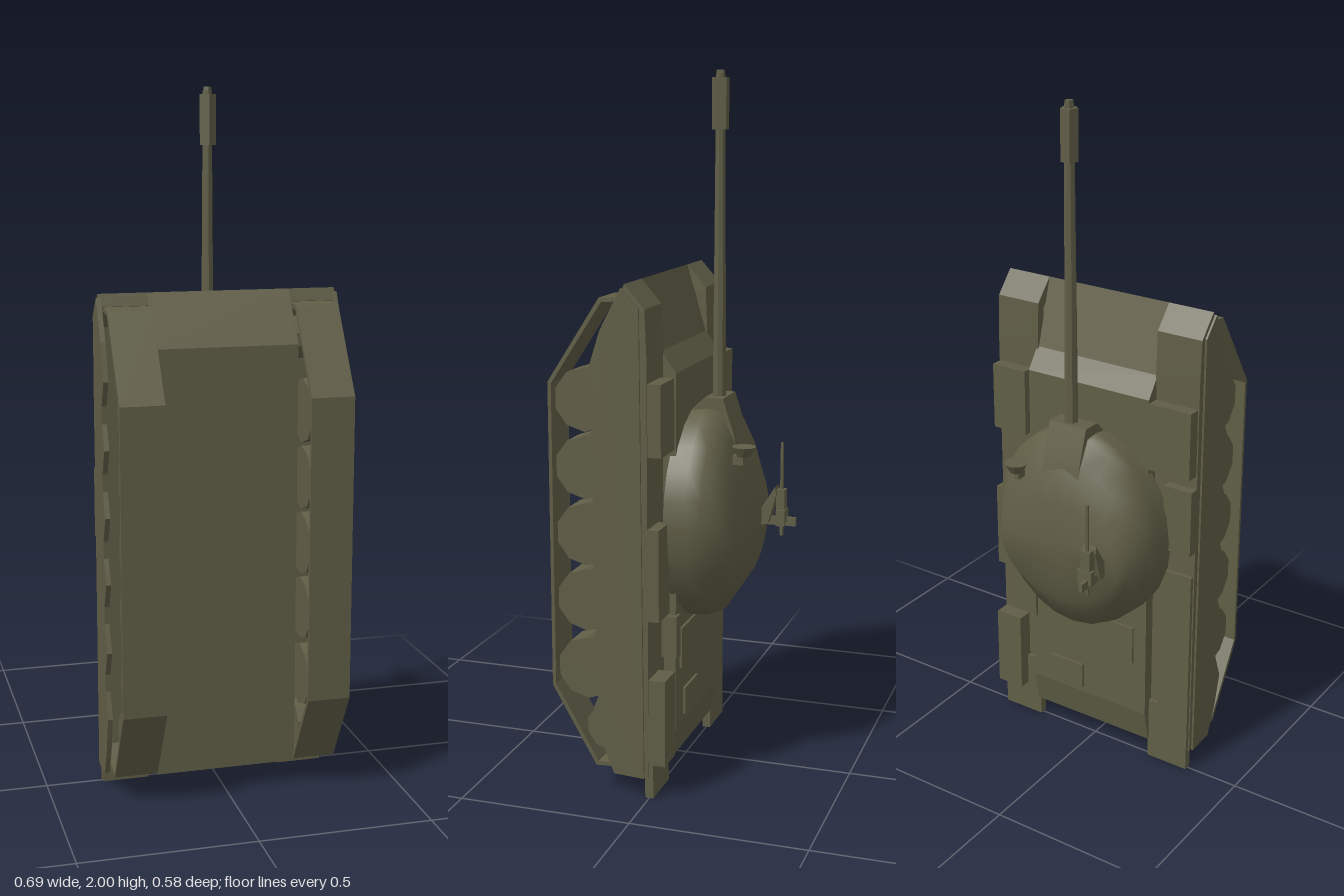
import * as THREE from 'three';
import { toCreasedNormals } from 'three/addons/utils/BufferGeometryUtils.js';

const olive = new THREE.MeshStandardMaterial({ color: 0x605e46 });
olive.name = 'olive';

export function createModel() {
  const model = new THREE.Group();
  model.name = 'tank';

  const add = (name, geo, crease = 0.15) => {
    const mesh = new THREE.Mesh(toCreasedNormals(geo, crease), olive);
    mesh.name = name;
    model.add(mesh);
  };
  // box from its limits
  const box = (name, x0, x1, y0, y1, z0, z1) =>
    add(name, new THREE.BoxGeometry(x1 - x0, y1 - y0, z1 - z0)
      .translate((x0 + x1) / 2, (y0 + y1) / 2, (z0 + z1) / 2));
  // side profile of [z, y] points, extruded from x0 to x1
  const vectors = (pts) => pts.map(([z, y]) => new THREE.Vector2(z, y));
  const profile = (name, pts, x0, x1, hole) => {
    const shape = new THREE.Shape(vectors(pts));
    if (hole) shape.holes.push(new THREE.Path(vectors(hole)));
    const geo = new THREE.ExtrudeGeometry(shape, { depth: x1 - x0, bevelEnabled: false });
    add(name, geo.rotateY(-Math.PI / 2).translate(x1, 0, 0));
  };
  // cylinder along y
  const rod = (name, r0, r1, y0, y1, x, z, sides = 8) =>
    add(name, new THREE.CylinderGeometry(r1, r0, y1 - y0, sides).translate(x, (y0 + y1) / 2, z));

  // hull: belly towards +z, nose towards +y
  profile('hull', [[0.16, 0.07], [0.16, 1.3], [0.062, 1.445], [0.005, 1.25], [-0.038, 1.19],
    [-0.035, 0.16], [-0.015, 0.06], [0.06, 0.055]], -0.202, 0.206);
  box('engineDeckPanel', -0.16, 0.17, 0.33, 0.45, -0.043, -0.03);
  box('rearHatch', 0.02, 0.14, 0.18, 0.26, -0.043, -0.03);

  // track belt outlines
  const belt = [[0.29, 0.3], [0.29, 1.17], [0.138, 1.405], [0.06, 1.41], [0.03, 1.36],
    [0.03, 0.12], [0.06, 0.08], [0.16, 0.075]];
  const beltInner = [[0.28, 0.305], [0.28, 1.165], [0.132, 1.393], [0.07, 1.398], [0.042, 1.35],
    [0.042, 0.13], [0.066, 0.092], [0.154, 0.087]];
  const wheelY = [0.35, 0.55, 0.74, 0.93, 1.12];
  // skirt with a scalloped lower edge over the wheels
  const skirt = [[0.012, 0.06], [0.1, 0.065], [0.135, 0.15], [0.16, 0.25]];
  wheelY.forEach((y) => skirt.push([0.132, y - 0.025], [0.132, y + 0.025], [0.163, y + 0.097]));
  skirt.push([0.13, 1.32], [0.07, 1.435], [0.02, 1.38]);

  for (const s of [-1, 1]) {
    const side = s > 0 ? 'left' : 'right';
    const span = (a, b) => (s > 0 ? [a, b] : [-b, -a]);
    profile(side + 'Track', belt, ...span(0.204, 0.328), beltInner);
    profile(side + 'Skirt', skirt, ...span(0.332, 0.346));
    profile(side + 'Fender', [[0.03, 0.06], [0.03, 1.36], [0.075, 1.41], [0.062, 1.445],
      [0.005, 1.38], [0, 1.25], [0, 0.06]], ...span(0.2, 0.34));
    box(side + 'RearMudguard', ...span(0.2, 0.335), 0, 0.2, -0.012, 0.012);
    box(side + 'FrontStowageBox', ...span(s > 0 ? 0.222 : 0.2, 0.336), 0.98, 1.18, -0.038, 0.005);

    // wheels sit towards the hull side of the belt
    const wheel = (name, r, y, z) => add(name,
      new THREE.CylinderGeometry(r, r, 0.09, 10, 1, false, Math.PI / 10)
        .rotateZ(Math.PI / 2).translate(s * 0.252, y, z));
    wheelY.forEach((y) => wheel(side + 'RoadWheel', 0.09, y, 0.195));
    wheel(side + 'DriveWheel', 0.07, 0.18, 0.13);
    wheel(side + 'IdlerWheel', 0.06, 1.31, 0.085);
  }

  // remaining stowage on the fenders: x limits, y limits, top z
  [[0.25, 0.34, 0.52, 0.78, -0.032], [0.25, 0.338, 0.1, 0.35, -0.048],
    [-0.34, -0.25, 0.74, 0.94, -0.03], [-0.336, -0.23, 0.07, 0.66, -0.012]]
    .forEach(([x0, x1, y0, y1, z]) => box('stowageBox', x0, x1, y0, y1, z, 0.005));
  box('exhaust', 0.19, 0.225, 0.38, 0.5, -0.045, 0);

  // turret: oval rings as [z, half width, rear y, front y]
  const rings = [[-0.02, 0.272, 0.45, 1.07], [-0.08, 0.266, 0.452, 1.08], [-0.122, 0.258, 0.465, 1.075],
    [-0.16, 0.231, 0.525, 1.0], [-0.193, 0.202, 0.575, 0.885], [-0.198, 0, 0.74, 0.74]];
  const n = 24, pos = [], index = [];
  rings.forEach(([z, w, y0, y1]) => {
    for (let j = 0; j < n; j++) {
      const a = (j / n) * Math.PI * 2;
      pos.push(w * Math.cos(a), (y0 + y1) / 2 + ((y1 - y0) / 2) * Math.sin(a), z);
    }
  });
  for (let i = 0; i < rings.length - 1; i++) {
    for (let j = 0; j < n; j++) {
      const a = i * n + j, b = i * n + ((j + 1) % n);
      index.push(a, a + n, b);
      if (i < rings.length - 2) index.push(b, a + n, b + n);
    }
  }
  const dome = new THREE.BufferGeometry();
  dome.setAttribute('position', new THREE.Float32BufferAttribute(pos, 3));
  dome.setIndex(index);
  add('turret', dome, 1.2);

  // gun
  profile('mantlet', [[-0.045, 0.95], [-0.045, 1.07], [-0.075, 1.1], [-0.13, 1.1], [-0.162, 1.0],
    [-0.175, 0.93]], -0.055, 0.068);
  rod('barrel', 0.02, 0.013, 1.05, 1.99, 0.013, -0.103);
  rod('muzzleSleeve', 0.025, 0.025, 1.84, 1.98, 0.013, -0.103, 5);
  rod('muzzle', 0.014, 0.012, 1.97, 2, 0.013, -0.103, 5);

  // searchlight bowl, flat face forward
  add('searchlight', new THREE.CylinderGeometry(0.034, 0.018, 0.028, 14).translate(0.13, 0.968, -0.21));
  box('searchlightStem', 0.122, 0.138, 0.93, 0.957, -0.21, -0.18);

  // roof machine gun
  profile('gunBracket', [[-0.185, 0.69], [-0.185, 0.73], [-0.235, 0.81], [-0.24, 0.79], [-0.215, 0.7]], -0.16, -0.115);
  box('gunReceiver', -0.155, -0.125, 0.69, 0.8, -0.262, -0.236);
  rod('gunBarrel', 0.006, 0.005, 0.66, 0.94, -0.14, -0.25, 6);
  box('gunHandle', -0.152, -0.138, 0.69, 0.715, -0.293, -0.2);
  box('ammoBox', -0.162, -0.115, 0.7, 0.74, -0.265, -0.245);

  return model;
}
